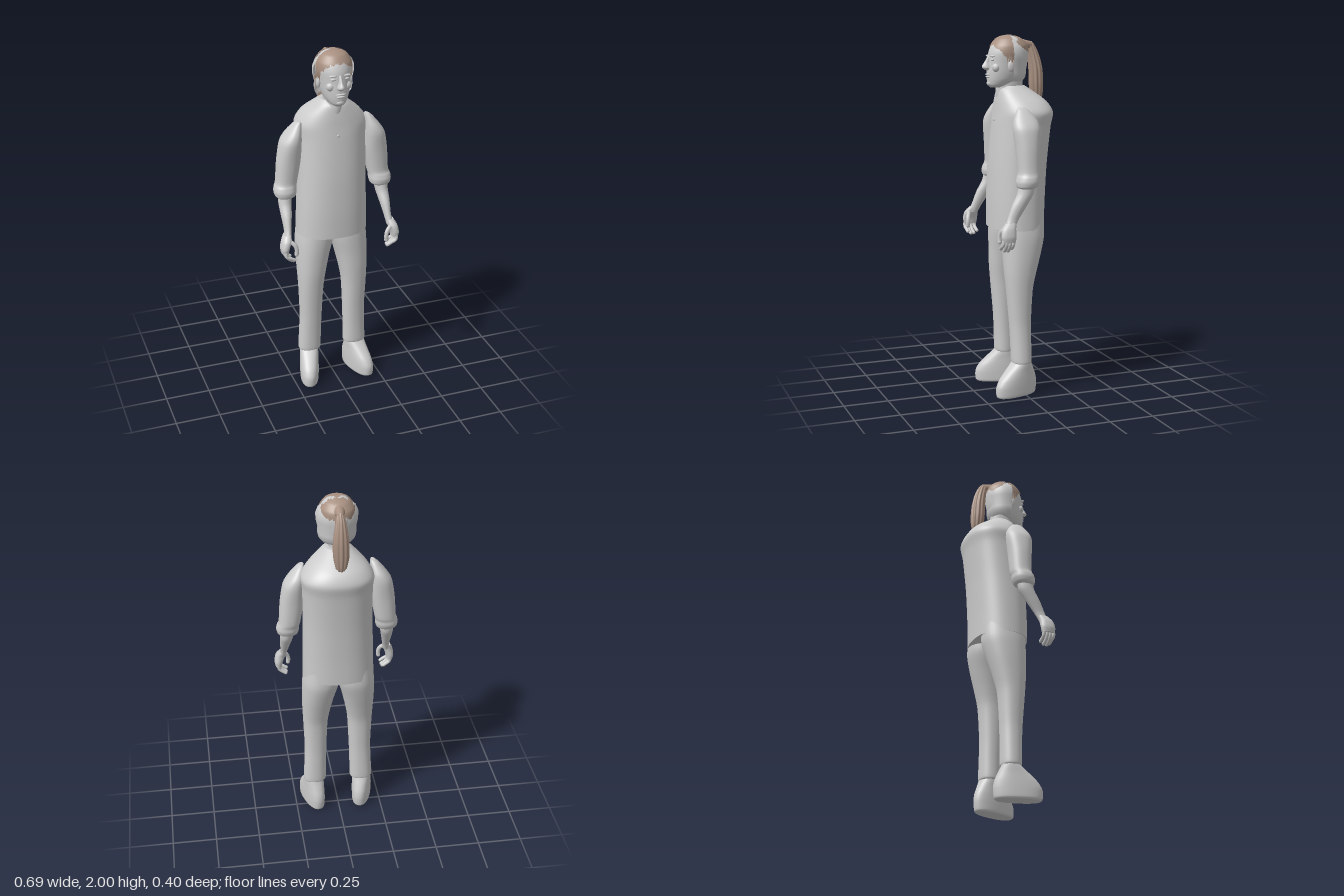
import * as THREE from 'three';

const grey = new THREE.MeshStandardMaterial({ color: 0xcccccc, side: THREE.DoubleSide });
grey.name = 'plain grey';
const brown = new THREE.MeshStandardMaterial({ color: 0xa89081, side: THREE.DoubleSide });
brown.name = 'hair brown';

// Smooth loft through level sections [y, xMin, xMax, zMin, zMax], bottom to top.
// options: side mirrors in x, power squares the section, ridge ripples it, keep(x, y, z) trims faces
function loft(sections, { side = 1, power = 2, ridge = 0, keep = null, seg = 40, step = 5 } = {}) {
  const centre = new THREE.CatmullRomCurve3(sections.map(([y, a, b, c, d]) =>
    new THREE.Vector3(side * (a + b) / 2, y, (c + d) / 2)), false, 'catmullrom', 0.4);
  const radius = new THREE.CatmullRomCurve3(sections.map(([, a, b, c, d]) =>
    new THREE.Vector3((b - a) / 2, 0, (d - c) / 2)), false, 'catmullrom', 0.4);
  const rows = (sections.length - 1) * step;
  const pos = [], index = [];
  const round = (v) => Math.sign(v) * Math.pow(Math.abs(v), 2 / power);
  for (let i = 0; i <= rows; i++) {
    const c = centre.getPoint(i / rows), r = radius.getPoint(i / rows);
    for (let j = 0; j < seg; j++) {
      const a = j / seg * Math.PI * 2, k = 1 + ridge * Math.cos(a * 10);
      pos.push(c.x + round(Math.sin(a)) * r.x * k, c.y, c.z + round(Math.cos(a)) * r.z * k);
    }
  }
  const mid = (p, k) => (pos[p[0] * 3 + k] + pos[p[2] * 3 + k]) / 2;
  for (let i = 0; i < rows; i++) for (let j = 0; j < seg; j++) {
    const n = (j + 1) % seg;
    const q = [i * seg + j, i * seg + n, (i + 1) * seg + n, (i + 1) * seg + j];
    if (keep && !keep(mid(q, 0), mid(q, 1), mid(q, 2))) continue;
    index.push(q[0], q[1], q[2], q[0], q[2], q[3]);
  }
  // End caps with their own vertices so the rims stay crisp
  for (const row of [0, rows]) {
    if (keep && row === 0) continue;
    const start = pos.length / 3, c = centre.getPoint(row / rows);
    for (let j = 0; j < seg * 3; j++) pos.push(pos[row * seg * 3 + j]);
    pos.push(c.x, c.y, c.z);
    for (let j = 0; j < seg; j++) {
      const a = start + j, b = start + (j + 1) % seg;
      if (row) index.push(a, b, start + seg); else index.push(b, a, start + seg);
    }
  }
  const g = new THREE.BufferGeometry();
  g.setAttribute('position', new THREE.Float32BufferAttribute(pos, 3));
  g.setIndex(index);
  g.computeVertexNormals();
  return g;
}

const even = (list) => list.map(([y, w, back, front]) => [y, -w, w, back, front]);

export function createModel() {
  const model = new THREE.Group();
  model.name = 'standingPerson';
  const add = (name, geometry, material = grey, parent = model) => {
    const mesh = new THREE.Mesh(geometry, material);
    mesh.name = name;
    parent.add(mesh);
    return mesh;
  };
  const blob = (name, x, y, z, rx, ry, rz, material = grey) => {
    const mesh = add(name, new THREE.SphereGeometry(1, 16, 12), material);
    mesh.position.set(x, y, z);
    mesh.scale.set(rx, ry, rz);
    return mesh;
  };
  const tube = (name, points, r) => {
    const path = new THREE.CatmullRomCurve3(points.map((p) => new THREE.Vector3(...p)));
    add(name, new THREE.TubeGeometry(path, 10, r, 10));
    blob(name + 'Tip', ...points[points.length - 1], r, r, r);
  };

  // Shirt
  add('shirt', loft([
    [0.94, -0.2, 0.2, -0.15, 0.15], [1.1, -0.195, 0.198, -0.155, 0.15],
    [1.3, -0.187, 0.195, -0.167, 0.142], [1.5, -0.183, 0.2, -0.187, 0.125],
    [1.58, -0.187, 0.207, -0.2, 0.116], [1.64, -0.152, 0.165, -0.168, 0.11],
    [1.7, -0.092, 0.095, -0.09, 0.1], [1.725, -0.066, 0.068, -0.05, 0.075],
  ], { power: 2.3, seg: 56 }));
  blob('shirtButton', 0, 1.54, 0.122, 0.008, 0.008, 0.004);

  // Head and neck
  add('neck', loft(even([[1.62, 0.055, -0.05, 0.1], [1.69, 0.052, -0.045, 0.11], [1.8, 0.055, -0.045, 0.1]])));
  const skull = [
    [1.715, 0.025, 0.075, 0.14], [1.73, 0.047, 0.03, 0.155], [1.76, 0.067, -0.03, 0.16],
    [1.8, 0.079, -0.06, 0.16], [1.85, 0.087, -0.07, 0.155], [1.9, 0.094, -0.073, 0.15],
    [1.94, 0.09, -0.065, 0.135], [1.975, 0.066, -0.035, 0.108], [1.99, 0.04, -0.005, 0.08],
    [1.996, 0.012, 0.02, 0.055],
  ];
  add('head', loft(even(skull), { seg: 48 }));
  add('nose', loft(even([
    [1.81, 0.012, 0.13, 0.17], [1.822, 0.021, 0.13, 0.188], [1.834, 0.018, 0.13, 0.19],
    [1.855, 0.011, 0.13, 0.176], [1.89, 0.009, 0.13, 0.156],
  ]), { seg: 20 }));
  blob('upperLip', 0, 1.787, 0.155, 0.029, 0.006, 0.013);
  blob('lowerLip', 0, 1.774, 0.155, 0.024, 0.007, 0.012);
  blob('chin', 0, 1.74, 0.142, 0.026, 0.018, 0.02);
  for (const s of [-1, 1]) {
    blob('eye', s * 0.035, 1.868, 0.143, 0.017, 0.007, 0.008);
    blob('brow', s * 0.036, 1.887, 0.142, 0.024, 0.006, 0.011);
    blob('cheek', s * 0.045, 1.825, 0.125, 0.025, 0.025, 0.022);
    blob('ear', s * 0.09, 1.835, 0.052, 0.012, 0.034, 0.021);
  }

  // Grey shell round the back of the head
  const shell = add('backHairShell', new THREE.LatheGeometry([
    [0.085, 1.75], [0.1, 1.77], [0.106, 1.8], [0.104, 1.83], [0.113, 1.87], [0.114, 1.91], [0.1, 1.945], [0.085, 1.955],
  ].map((p) => new THREE.Vector2(...p)), 28, Math.PI / 2, Math.PI));
  shell.position.z = 0.045;

  // Hair cap in two pieces, split by a ragged parting
  const cap = even(skull.slice(4).map(([y, w, b, f]) => [y + 0.004, w + 0.005, b - 0.004, f + 0.003]));
  const rag = (v) => 0.006 * Math.sin(v * 170) + 0.004 * Math.sin(v * 410);
  add('frontHair', loft(cap, { seg: 120, step: 10, keep: (x, y, z) =>
    z > 0.042 - 0.015 * Math.exp(-x * x * 1500) + rag(x) * 0.3 &&
    y > 1.875 + Math.max(0, z - 0.075) * 1.15 + rag(x + z) }), brown);
  add('crownHair', loft(cap.map(([y, a, b, c, d]) => [y, a, b, c, d]), { seg: 120, step: 10, keep: (x, y, z) =>
    z < 0.012 + rag(x) && y > 1.91 + rag(x + z) }), brown);

  // Ponytail, its gathered root and loose strands
  const root = add('ponytailRoot', new THREE.CylinderGeometry(0.018, 0.034, 0.06, 16), brown);
  root.rotation.x = -Math.PI / 2;
  root.position.set(0, 1.945, -0.07);
  add('ponytail', loft([
    [1.62, -0.002, 0.012, -0.135, -0.115], [1.66, -0.025, 0.03, -0.16, -0.098],
    [1.73, -0.04, 0.042, -0.165, -0.088], [1.81, -0.04, 0.042, -0.16, -0.086],
    [1.87, -0.034, 0.034, -0.148, -0.08], [1.92, -0.026, 0.025, -0.13, -0.073],
    [1.95, -0.018, 0.018, -0.112, -0.07], [1.965, -0.008, 0.008, -0.1, -0.08],
  ], { ridge: 0.07, seg: 80 }), brown);
  for (const s of [-1, 1]) for (let i = 0; i < 4; i++) {
    const strand = add('looseStrand', new THREE.ConeGeometry(0.006, 0.1 - i * 0.012, 6), brown);
    strand.position.set(s * (0.101 - i * 0.004), 1.82 + i * 0.018, 0.04 + i * 0.012);
    strand.rotation.x = Math.PI;
  }

  for (const side of [-1, 1]) {
    const tag = side > 0 ? 'left' : 'right';

    // Rolled sleeve
    add(tag + 'Sleeve', loft([
      [1.19, 0.235, 0.318, 0, 0.08], [1.2, 0.219, 0.333, -0.02, 0.09], [1.225, 0.213, 0.339, -0.032, 0.094],
      [1.25, 0.212, 0.335, -0.034, 0.088], [1.28, 0.205, 0.325, -0.04, 0.08], [1.4, 0.185, 0.316, -0.045, 0.088],
      [1.5, 0.18, 0.298, -0.052, 0.098], [1.55, 0.18, 0.268, -0.043, 0.09],
      [1.6, 0.18, 0.226, -0.008, 0.066], [1.617, 0.182, 0.205, 0.015, 0.055],
    ], { side, power: 2.2 }));

    // Forearm, palm, fingers and thumb
    add(tag + 'Forearm', loft([
      [0.98, 0.28, 0.322, 0.115, 0.175], [1.03, 0.272, 0.312, 0.088, 0.152], [1.1, 0.258, 0.316, 0.04, 0.125],
      [1.16, 0.246, 0.318, 0.002, 0.093], [1.22, 0.24, 0.315, -0.01, 0.08],
    ], { side, seg: 24 }));
    add(tag + 'Palm', loft([
      [0.91, 0.302, 0.34, 0.118, 0.19], [0.94, 0.297, 0.344, 0.113, 0.197],
      [0.98, 0.283, 0.336, 0.112, 0.19], [1.01, 0.278, 0.32, 0.105, 0.165],
    ], { side, power: 2.4, seg: 24 }));
    for (let i = 0; i < 4; i++) {
      const z = 0.127 + i * 0.019, drop = i === 1 || i === 2 ? 0 : 0.012;
      tube(tag + 'Finger', [[side * 0.324, 0.93, z], [side * 0.319, 0.895, z + 0.003],
        [side * (0.304 - i * 0.003), 0.87 + drop, z + 0.002], [side * (0.284 - i * 0.003), 0.858 + drop, z]], 0.01);
    }
    tube(tag + 'Thumb', [[side * 0.305, 0.985, 0.165], [side * 0.272, 0.96, 0.182],
      [side * 0.262, 0.93, 0.187], [side * 0.264, 0.905, 0.187]], 0.012);

    // Trouser leg
    add(tag + 'TrouserLeg', loft([
      [0.185, 0.075, 0.2, -0.038, 0.065], [0.2, 0.072, 0.203, -0.043, 0.07], [0.3, 0.071, 0.198, -0.042, 0.073],
      [0.42, 0.067, 0.194, -0.042, 0.08], [0.6, 0.058, 0.2, -0.053, 0.096], [0.7, 0.042, 0.204, -0.076, 0.105],
      [0.8, 0.02, 0.206, -0.105, 0.11], [0.9, -0.006, 0.203, -0.13, 0.115], [1, -0.01, 0.19, -0.13, 0.115],
    ], { side, power: 2.2 }));

    // Bulky shoe, toe turned out
    const foot = new THREE.Group();
    foot.name = tag + 'Foot';
    foot.position.x = side * 0.137;
    foot.rotation.y = side * 0.28;
    model.add(foot);
    add(tag + 'Shoe', loft(even([
      [0, 0.047, -0.068, 0.17], [0.012, 0.053, -0.077, 0.18], [0.06, 0.055, -0.082, 0.18],
      [0.1, 0.055, -0.076, 0.158], [0.14, 0.054, -0.06, 0.118], [0.17, 0.054, -0.046, 0.085],
      [0.195, 0.052, -0.035, 0.06], [0.21, 0.045, -0.03, 0.055],
    ]), { power: 2.3 }), grey, foot);
  }
  return model;
}
